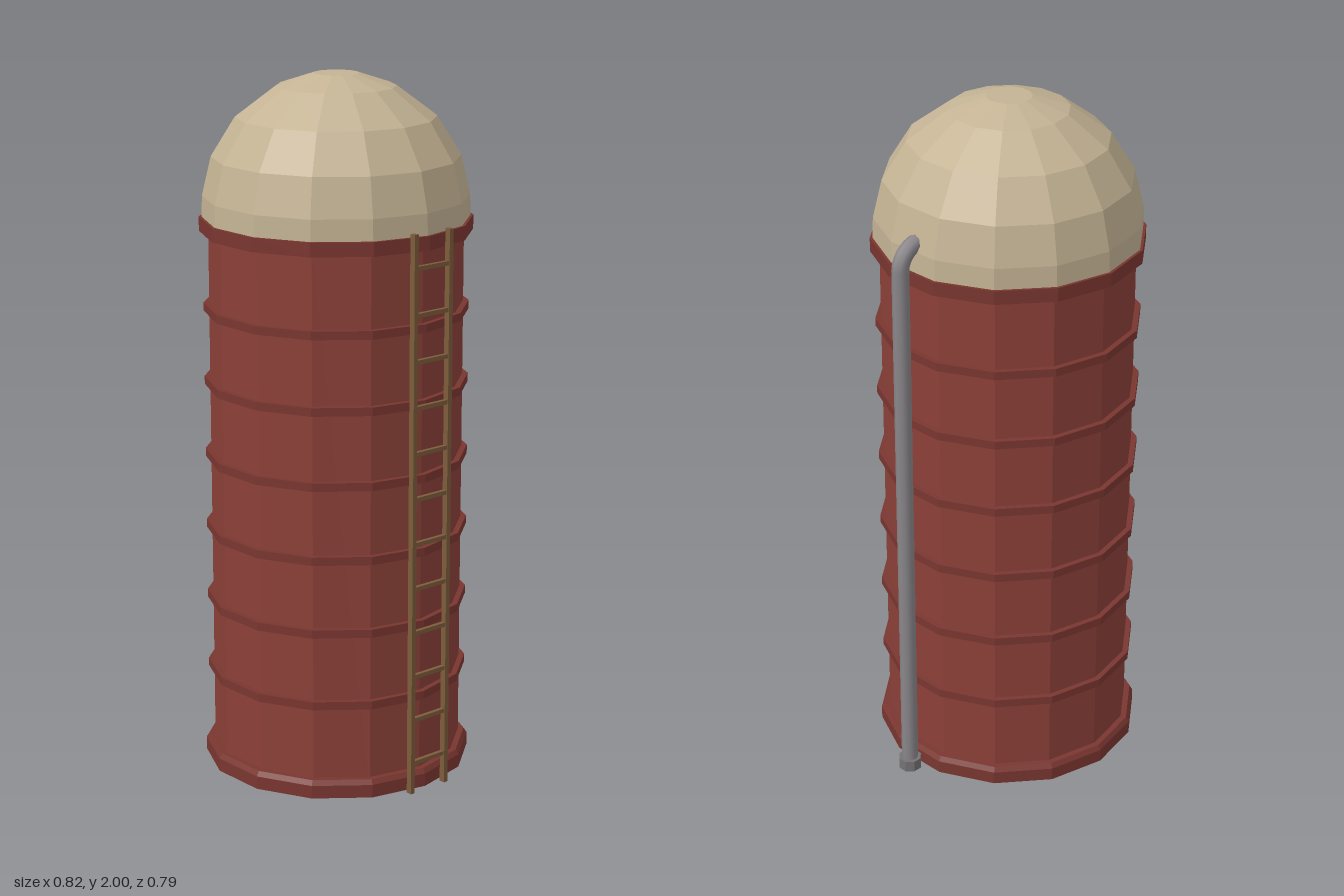
import * as THREE from 'three';

const SIDES = 14;
const CX = -0.036, CZ = -0.01; // axis of the tower

const material = (color, flatShading = true) =>
  new THREE.MeshStandardMaterial({ color, flatShading, side: THREE.DoubleSide });

const red = material(0x8b4038);
const darkRed = material(0x7a3630);
const tan = material(0xc4b394);
const brown = material(0x7d5c3c);
const steel = material(0x8a868a, false);
const darkSteel = material(0x747274);

function addMesh(parent, name, geometry, mat, x = 0, y = 0, z = 0) {
  const mesh = new THREE.Mesh(geometry, mat);
  mesh.name = name;
  mesh.position.set(x, y, z);
  parent.add(mesh);
  return mesh;
}

// Faceted solid of revolution from [radius, height] pairs, listed bottom to top
const lathe = (pairs) =>
  new THREE.LatheGeometry(pairs.map(([r, y]) => new THREE.Vector2(r, y)), SIDES);

// Hoop with a rectangular section
const hoop = (inner, outer, h) =>
  lathe([[inner, -h / 2], [outer, -h / 2], [outer, h / 2], [inner, h / 2]]);

export function createModel() {
  const model = new THREE.Group();
  model.name = 'silo';

  // Tower: open-bottomed wall, footing, hoops and rim
  const tower = new THREE.Group();
  tower.name = 'tower';
  tower.position.set(CX, 0, CZ);
  model.add(tower);
  addMesh(tower, 'wall', lathe([[0.359, 0], [0.359, 1.6]]), red);
  addMesh(tower, 'footing',
    lathe([[0.359, 0], [0.385, 0], [0.385, 0.038], [0.376, 0.052], [0.359, 0.052]]), darkRed);
  for (let i = 0; i < 6; i++) {
    addMesh(tower, 'hoop', hoop(0.358, 0.375, 0.024), darkRed, 0, 0.275 + i * 0.2135, 0);
  }
  addMesh(tower, 'rim', hoop(0.358, 0.385, 0.04), darkRed, 0, 1.58, 0);

  // Domed roof
  addMesh(tower, 'dome', lathe([
    [0.377, 1.6], [0.375, 1.66], [0.349, 1.77], [0.281, 1.88],
    [0.168, 1.965], [0.064, 2.0], [0, 2.0],
  ]), tan);

  // Ladder on the front
  const ladder = new THREE.Group();
  ladder.name = 'ladder';
  ladder.position.set(CX, 0, 0.384);
  model.add(ladder);
  for (const side of [-1, 1]) {
    addMesh(ladder, 'ladderRail', new THREE.BoxGeometry(0.014, 1.615, 0.018), brown,
      side * 0.064, 0.8075, 0);
  }
  const rung = new THREE.BoxGeometry(0.128, 0.012, 0.012);
  for (let i = 0; i < 12; i++) {
    addMesh(ladder, 'ladderRung', rung, brown, 0, 0.09 + i * 0.13, 0);
  }

  // Filling pipe: straight riser, quarter bend into the dome
  const px = 0.376, bend = 0.065, top = 1.682;
  const path = new THREE.CurvePath();
  const v = (x, y) => new THREE.Vector3(x, y, CZ);
  path.add(new THREE.LineCurve3(v(px, 0), v(px, top - bend)));
  const k = bend * 0.45;
  path.add(new THREE.CubicBezierCurve3(v(px, top - bend), v(px, top - k),
    v(px - bend + k, top), v(px - bend, top)));
  path.add(new THREE.LineCurve3(v(px - bend, top), v(0.28, top)));
  addMesh(model, 'fillPipe', new THREE.TubeGeometry(path, 120, 0.024, 8), steel);
  addMesh(model, 'pipeFoot', new THREE.CylinderGeometry(0.034, 0.034, 0.034, 8)
    .rotateY(Math.PI / 8), darkSteel, px, 0.017, CZ);

  return model;
}
